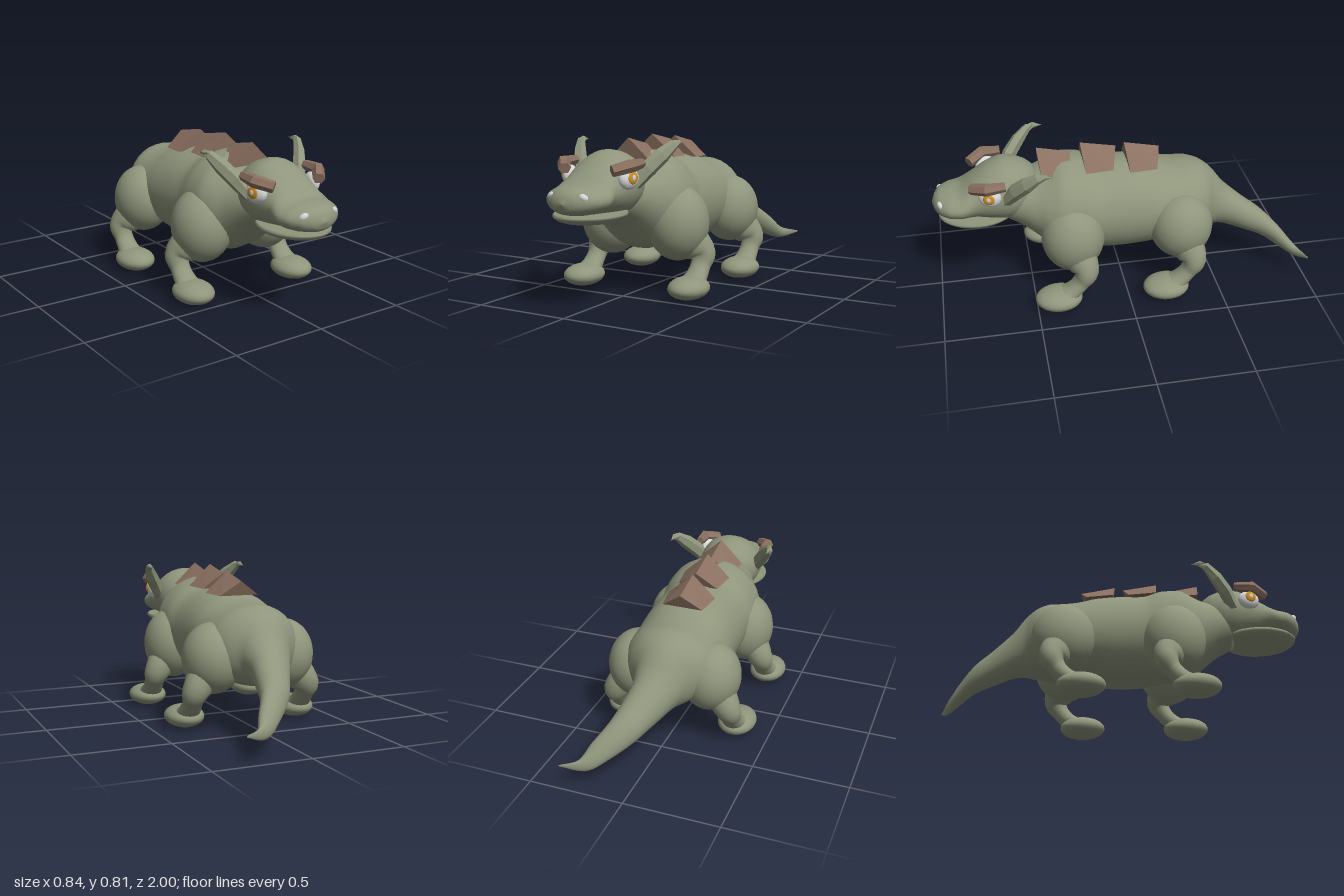
import * as THREE from 'three';

const material = (name, color) => Object.assign(new THREE.MeshStandardMaterial({ color }), { name });

// Closed skin over elliptical rings [x, y, z, rx, ry]; upright rings face +z, others follow the path.
function loft(sections, { sides = 28, steps = 4, upright = false, flat = false } = {}) {
  const spine = new THREE.CatmullRomCurve3(sections.map(s => new THREE.Vector3(s[0], s[1], s[2])));
  const radii = new THREE.CatmullRomCurve3(sections.map(s => new THREE.Vector3(s[3], s[4], 0)));
  const n = (sections.length - 1) * steps;
  const pos = [], index = [];
  const forward = new THREE.Vector3(0, 0, 1), q = new THREE.Quaternion();
  for (let i = 0; i <= n; i++) {
    const c = spine.getPoint(i / n), r = radii.getPoint(i / n);
    if (!upright) q.setFromUnitVectors(forward, spine.getTangent(i / n));
    for (let j = 0; j < sides; j++) {
      const a = j / sides * Math.PI * 2;
      const p = new THREE.Vector3(Math.cos(a) * Math.max(r.x, 0.001), Math.sin(a) * Math.max(r.y, 0.001), 0);
      pos.push(...p.applyQuaternion(q).add(c).toArray());
      if (i === n) continue;
      const k = (j + 1) % sides, A = i * sides, B = A + sides;
      index.push(A + j, A + k, B + j, A + k, B + k, B + j);
    }
  }
  // End caps
  const first = pos.length / 3, last = n * sides;
  pos.push(...spine.getPoint(0).toArray(), ...spine.getPoint(1).toArray());
  for (let j = 0; j < sides; j++) {
    const k = (j + 1) % sides;
    index.push(first, k, j, first + 1, last + j, last + k);
  }
  let g = new THREE.BufferGeometry();
  g.setAttribute('position', new THREE.Float32BufferAttribute(pos, 3));
  g.setIndex(index);
  if (flat) g = g.toNonIndexed();
  g.computeVertexNormals();
  return g;
}

const ellipsoid = (rx, ry, rz, w = 28, h = 20) => new THREE.SphereGeometry(1, w, h).scale(rx, ry, rz);

// Ridged back plate: gabled solid, higher and wider at the front
function plateGeometry(zf, zb, yf, yb, eave) {
  const p = [
    [0, yf, zf], [-0.13, eave + 0.005, zf - 0.012], [0.13, eave + 0.005, zf - 0.012],
    [0, yb, zb], [-0.11, eave, zb + 0.03], [0.11, eave, zb + 0.03],
  ];
  const faces = [0, 1, 2, 3, 5, 4, 0, 2, 5, 0, 5, 3, 0, 3, 4, 0, 4, 1, 1, 4, 5, 1, 5, 2];
  const g = new THREE.BufferGeometry();
  g.setAttribute('position', new THREE.Float32BufferAttribute(faces.flatMap(i => p[i]), 3));
  g.computeVertexNormals();
  return g;
}

export function createModel() {
  const model = new THREE.Group();
  model.name = 'hornedReptile';
  const skin = material('skinGreen', 0x8f967c);
  const brown = material('plateBrown', 0x8a7060);
  const white = material('eyeWhite', 0xd6d6d8);
  const amber = material('irisAmber', 0xd0901f);

  function add(name, geometry, mat, x = 0, y = 0, z = 0, parent = model) {
    const mesh = new THREE.Mesh(geometry, mat);
    mesh.name = name;
    mesh.position.set(x, y, z);
    parent.add(mesh);
    return mesh;
  }

  // Tail, trunk and neck in one skin, from tail tip to throat
  add('bodyAndTail', loft([
    [0.33, 0.14, -1.0, 0.002, 0.004],
    [0.225, 0.135, -0.95, 0.035, 0.035],
    [0.16, 0.19, -0.88, 0.06, 0.06],
    [0.09, 0.255, -0.79, 0.078, 0.078],
    [0.05, 0.305, -0.69, 0.092, 0.098],
    [0.012, 0.365, -0.58, 0.112, 0.127],
    [0, 0.41, -0.51, 0.14, 0.17],
    [0, 0.43, -0.45, 0.2, 0.195],
    [0, 0.435, -0.38, 0.24, 0.21],
    [0, 0.435, -0.3, 0.25, 0.212],
    [0, 0.437, -0.22, 0.252, 0.222],
    [0, 0.442, -0.13, 0.255, 0.243],
    [0, 0.445, 0, 0.255, 0.255],
    [0, 0.45, 0.13, 0.257, 0.252],
    [0, 0.475, 0.22, 0.268, 0.257],
    [0, 0.48, 0.32, 0.27, 0.258],
    [0, 0.477, 0.4, 0.245, 0.222],
    [0, 0.492, 0.46, 0.205, 0.185],
    [0, 0.52, 0.54, 0.165, 0.145],
    [0, 0.535, 0.63, 0.125, 0.11],
  ], { upright: true, sides: 32 }), skin);

  // Head: round cranium tapering to a broad snout
  add('head', loft([
    [0, 0.61, 0.435, 0.005, 0.005],
    [0, 0.608, 0.455, 0.085, 0.08],
    [0, 0.6, 0.5, 0.138, 0.128],
    [0, 0.594, 0.56, 0.168, 0.158],
    [0, 0.593, 0.62, 0.176, 0.167],
    [0, 0.585, 0.7, 0.17, 0.147],
    [0, 0.567, 0.78, 0.158, 0.11],
    [0, 0.546, 0.85, 0.17, 0.077],
    [0, 0.542, 0.91, 0.155, 0.071],
    [0, 0.54, 0.96, 0.112, 0.06],
    [0, 0.536, 0.985, 0.065, 0.04],
    [0, 0.535, 1.0, 0.004, 0.004],
  ], { upright: true, sides: 32 }), skin);

  // Lower jaw: shallow bowl with a thick lip
  const jaw = [[0, 0.416], [0.06, 0.419], [0.12, 0.429], [0.15, 0.44], [0.168, 0.456], [0.17, 0.466], [0.162, 0.475], [0, 0.472]];
  add('lowerJaw', new THREE.LatheGeometry(jaw.map(p => new THREE.Vector2(...p)), 32).scale(1, 1, 1.2), skin, 0, 0, 0.77);

  for (const s of [1, -1]) {
    const side = s > 0 ? 'left' : 'right';

    // Limbs: the hind pair repeats the front pair further back
    for (const [name, dz] of [['Front', 0], ['Hind', -0.585]]) {
      const limb = new THREE.Group();
      limb.name = side + name + 'Limb';
      limb.position.z = dz;
      model.add(limb);
      if (dz === 0) {
        add('shoulder', ellipsoid(0.16, 0.195, 0.168), skin, s * 0.2, 0.367, 0.285, limb);
      } else {
        add('thigh', ellipsoid(0.157, 0.185, 0.17), skin, s * 0.203, 0.37, 0.285, limb);
      }
      add('leg', loft([
        [s * 0.22, 0.33, 0.285, 0.08, 0.08],
        [s * 0.275, 0.265, 0.255, 0.088, 0.08],
        [s * 0.318, 0.205, 0.235, 0.069, 0.064],
        [s * 0.32, 0.148, 0.265, 0.053, 0.046],
        [s * 0.32, 0.1, 0.31, 0.06, 0.045],
        [s * 0.32, 0.07, 0.36, 0.075, 0.045],
      ], { sides: 18 }), skin, 0, 0, 0, limb);
      add('foot', ellipsoid(0.102, 0.058, 0.125), skin, s * 0.32, 0.06, 0.385, limb);
    }

    // Swept-back faceted ear horn
    add(side + 'EarHorn', loft([
      [s * 0.15, 0.59, 0.62, 0.03, 0.03],
      [s * 0.2, 0.672, 0.57, 0.042, 0.036],
      [s * 0.243, 0.732, 0.515, 0.04, 0.032],
      [s * 0.275, 0.78, 0.46, 0.026, 0.021],
      [s * 0.283, 0.79, 0.425, 0.016, 0.013],
      [s * 0.285, 0.785, 0.38, 0.002, 0.002],
    ], { sides: 6, steps: 1, flat: true }), skin);

    // Eye: white ball, amber iris and pale centre
    const eye = new THREE.Group();
    eye.name = side + 'Eye';
    eye.position.set(s * 0.17, 0.632, 0.7);
    eye.rotation.y = s * 1.33;
    model.add(eye);
    add('eyeball', ellipsoid(0.06, 0.052, 0.034, 14, 10), white, 0, 0, 0, eye);
    add('iris', ellipsoid(0.03, 0.03, 0.008, 16, 8), amber, 0, 0.007, 0.032, eye);
    add('eyeGlint', ellipsoid(0.012, 0.014, 0.003, 10, 6), white, 0, 0.009, 0.039, eye);

    // Heavy bent brow
    add(side + 'Brow', loft([
      [s * 0.193, 0.702, 0.62, 0.024, 0.024],
      [s * 0.197, 0.697, 0.715, 0.033, 0.033],
      [s * 0.137, 0.675, 0.79, 0.031, 0.029],
    ], { sides: 6, steps: 1, flat: true }), brown);

    // Nostril
    const nostril = add(side + 'Nostril', ellipsoid(0.025, 0.016, 0.013, 10, 8), white, s * 0.094, 0.567, 0.956);
    nostril.rotation.set(-0.3, s * 0.6, -s * 0.35);
  }

  // Row of back plates
  [[0.44, 0.26, 0.805, 0.765, 0.68], [0.21, 0.02, 0.812, 0.775, 0.69], [-0.025, -0.215, 0.79, 0.75, 0.672]]
    .forEach((p, i) => add('backPlate' + (i + 1), plateGeometry(...p), brown));

  return model;
}
